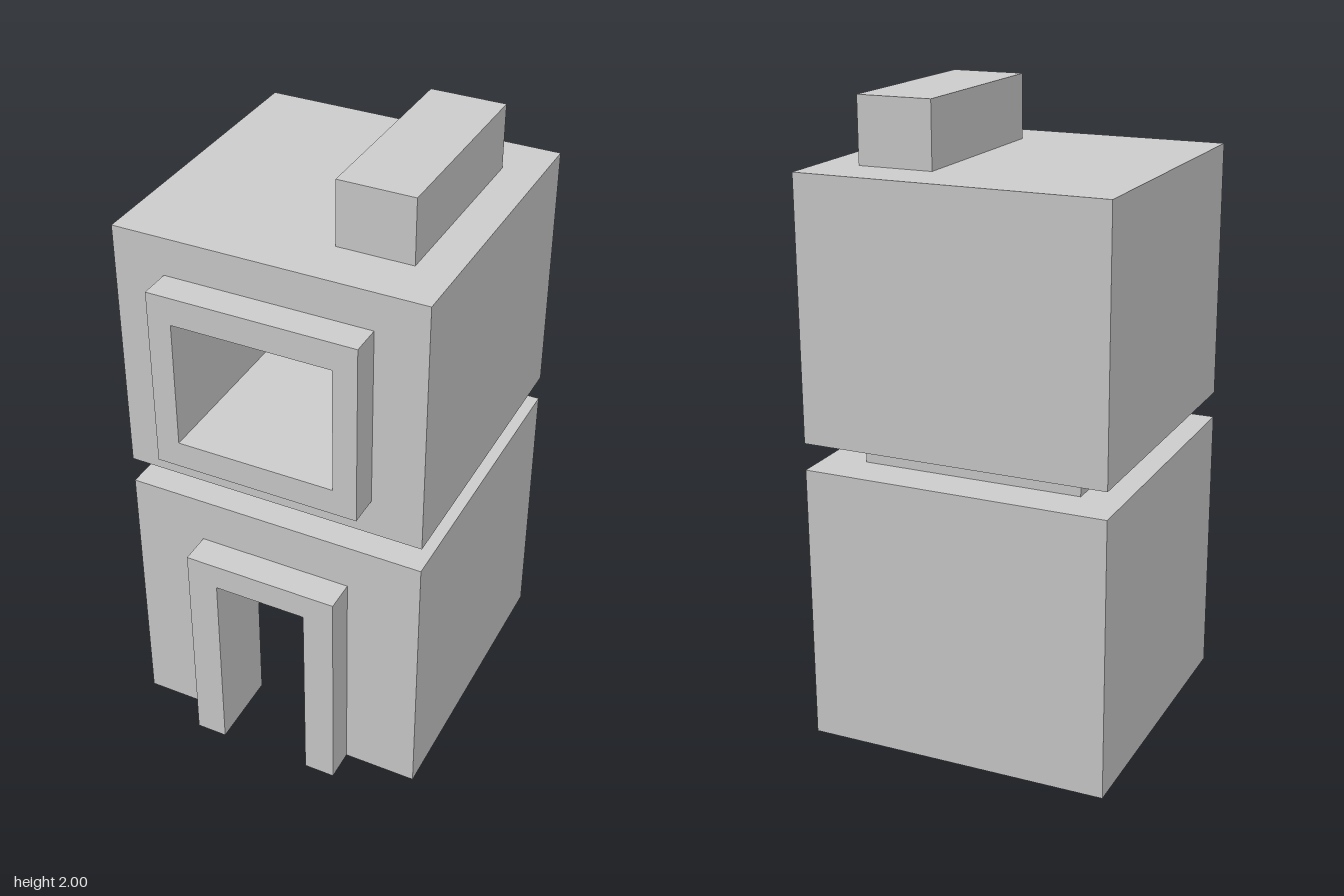
import * as THREE from 'three';

const material = new THREE.MeshStandardMaterial({ color: 0xcccccc, flatShading: true });

function add(parent, name, geometry) {
  const mesh = new THREE.Mesh(geometry, material);
  mesh.name = name;
  parent.add(mesh);
}

// Box given by its limits on each axis
function block([x0, x1], [y0, y1], [z0, z1]) {
  return new THREE.BoxGeometry(x1 - x0, y1 - y0, z1 - z0)
    .translate((x0 + x1) / 2, (y0 + y1) / 2, (z0 + z1) / 2);
}

const rect = (w, y0, y1) => [[-w, y0], [w, y0], [w, y1], [-w, y1]].map(p => new THREE.Vector2(...p));

function extrude(shape, z0, z1) {
  return new THREE.ExtrudeGeometry(shape, { depth: z1 - z0, bevelEnabled: false }).translate(0, 0, z0);
}

// Panel with a closed window opening
function windowPanel(w, y0, y1) {
  const shape = new THREE.Shape(rect(w, y0, y1));
  shape.holes.push(new THREE.Path(rect(0.25, 1.18, 1.587).reverse()));
  return shape;
}

// Panel with a doorway open at the ground
function doorPanel(w, h) {
  return new THREE.Shape([
    [-w, 0], [-0.15, 0], [-0.15, 0.655], [0.15, 0.655],
    [0.15, 0], [w, 0], [w, h], [-w, h],
  ].map(p => new THREE.Vector2(...p)));
}

export function createModel() {
  const model = new THREE.Group();
  model.name = 'tower';
  const W = 0.487, back = -0.535, front = 0.437, tip = 0.537;

  // Lower storey: hollow, open underneath
  const lower = new THREE.Group();
  lower.name = 'lowerStorey';
  model.add(lower);
  const inX = 0.39, inFront = 0.28, inBack = -0.41, ceiling = 0.79, lowerTop = 0.89;
  add(lower, 'frontWall', extrude(doorPanel(W, lowerTop), inFront, front));
  add(lower, 'backWall', block([-W, W], [0, lowerTop], [back, inBack]));
  add(lower, 'leftWall', block([inX, W], [0, lowerTop], [inBack, inFront]));
  add(lower, 'rightWall', block([-W, -inX], [0, lowerTop], [inBack, inFront]));
  add(lower, 'ceiling', block([-inX, inX], [ceiling, lowerTop], [inBack, inFront]));
  add(lower, 'doorFrame', extrude(doorPanel(0.25, 0.74), front, tip));

  // Recessed neck between the storeys
  add(model, 'neck', block([-0.353, 0.353], [lowerTop, 0.975], [-0.4, 0.307]));

  // Upper storey: solid behind a deep window recess
  const upper = new THREE.Group();
  upper.name = 'upperStorey';
  model.add(upper);
  const recess = -0.045;
  add(upper, 'frontBlock', extrude(windowPanel(W, 0.975, 1.795), recess, front));
  add(upper, 'backBlock', block([-W, W], [0.975, 1.795], [back, recess]));
  add(upper, 'windowFrame', extrude(windowPanel(0.325, 1.095, 1.675), front, tip));

  // Long chimney on the roof
  add(model, 'chimney', block([0.127, 0.365], [1.795, 2], [-0.367, 0.267]));

  return model;
}
